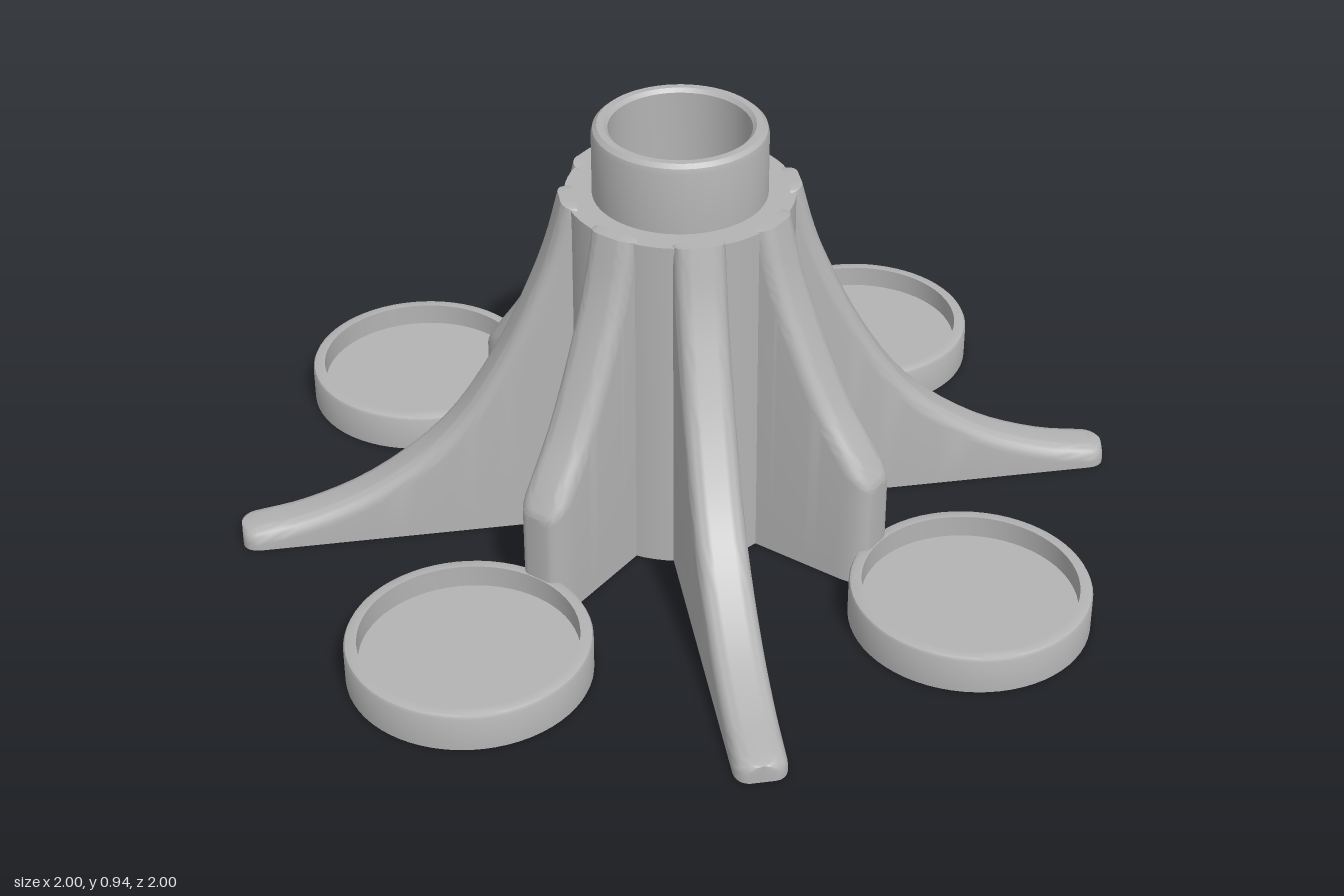
import * as THREE from 'three';
import { toCreasedNormals } from 'three/addons/utils/BufferGeometryUtils.js';

const HALF_WIDTH = 0.055, FILLET = 0.033, CORNER = 0.03;

// Smooth lathe with crisp edges kept
function lathe(points) {
  const profile = points.map(([r, y]) => new THREE.Vector2(r, y));
  return toCreasedNormals(new THREE.LatheGeometry(profile, 64), 0.5);
}

// Upright fin: vertical sections lofted outward under a curved, rounded crest
function ribGeometry(crest) {
  const curve = new THREE.CatmullRomCurve3(crest.map(([r, y]) => new THREE.Vector3(r, y, 0)));
  const stations = [];
  const steps = 28;
  for (let i = 0; i <= steps; i++) {
    const p = curve.getPoint(i / steps), t = curve.getTangent(i / steps);
    stations.push({ r: p.x, y: p.y, w: HALF_WIDTH, tx: t.x, ty: t.y });
  }
  // rounded outer corners
  const last = stations[steps];
  for (let k = 1; k <= 5; k++) {
    const a = (k / 5) * Math.PI / 2;
    const out = CORNER * Math.sin(a);
    stations.push({
      ...last,
      r: last.r + out,
      y: last.y + out * last.ty / last.tx,
      w: HALF_WIDTH - CORNER * (1 - Math.cos(a)),
      pull: 1 - Math.sin(a),
    });
  }
  stations.push({ ...stations[stations.length - 1], w: 0 });

  const section = ({ r, y, w, tx, ty, pull = 1 }) => {
    const f = Math.min(FILLET, w), pts = [];
    for (const side of [-1, 1]) {
      for (let k = 0; k <= 6; k++) {
        const a = (side < 0 ? 6 - k : k) / 6 * Math.PI / 2;
        const drop = FILLET * (1 - Math.cos(a));
        // inset follows the crest normal, flattening out at the end wall
        pts.push([r + ty * drop * pull, Math.max(0.004, y - tx * drop), side * (w - f + f * Math.sin(a))]);
      }
    }
    const a = pts[0], b = pts[pts.length - 1];
    return [[a[0], 0, a[2]], ...pts, [b[0], 0, b[2]]];
  };
  const rings = stations.map(section);
  // root ring buried in the tube wall closes the top
  rings.unshift(rings[0].map(([, y, z]) => [0.224, y, z]));

  const n = rings[0].length, index = [];
  for (let i = 0; i < rings.length - 1; i++) {
    for (let j = 0; j < n; j++) {
      const a = i * n + j, b = i * n + (j + 1) % n;
      index.push(a, b, a + n, b, b + n, a + n);
    }
  }
  const geo = new THREE.BufferGeometry();
  geo.setAttribute('position', new THREE.Float32BufferAttribute(rings.flat(2), 3));
  geo.setIndex(index);
  return toCreasedNormals(geo, 0.6);
}

export function createModel() {
  const model = new THREE.Group();
  model.name = 'trunkStand';
  const grey = new THREE.MeshStandardMaterial({ color: 0xb3b3b3 });
  grey.name = 'grey';

  const add = (name, geometry, angle = 0, distance = 0) => {
    const mesh = new THREE.Mesh(geometry, grey);
    mesh.name = name;
    mesh.rotation.y = angle;
    mesh.position.set(Math.cos(angle) * distance, 0, -Math.sin(angle) * distance);
    model.add(mesh);
  };

  // Hollow central tube with a narrower collar on top
  add('centralTube', lathe([
    [0.22, 0], [0.247, 0], [0.243, 0.783], [0.185, 0.783],
    [0.185, 0.92], [0.182, 0.932], [0.173, 0.94],
    [0.158, 0.94], [0.15, 0.932], [0.15, 0.74], [0.22, 0.74], [0.22, 0],
  ]));

  // Shallow dish with a raised rim
  const dish = lathe([
    [0, 0], [0.255, 0], [0.255, 0.077], [0.252, 0.083], [0.246, 0.086],
    [0.228, 0.086], [0.228, 0.036], [0, 0.036],
  ]);

  // Short ribs and long legs share the upper curve
  const upper = [[0.255, 0.79], [0.285, 0.68], [0.325, 0.575], [0.41, 0.4]];
  const shortRib = ribGeometry([...upper, [0.485, 0.29]]);
  const longLeg = ribGeometry([...upper, [0.52, 0.245], [0.68, 0.125], [0.83, 0.066], [0.94, 0.046]]);

  for (let i = 0; i < 4; i++) {
    const angle = i * Math.PI / 2;
    add('shortRib', shortRib, angle);
    add('dish', dish, angle, 0.745);
    add('longLeg', longLeg, angle + Math.PI / 4);
  }
  return model;
}
